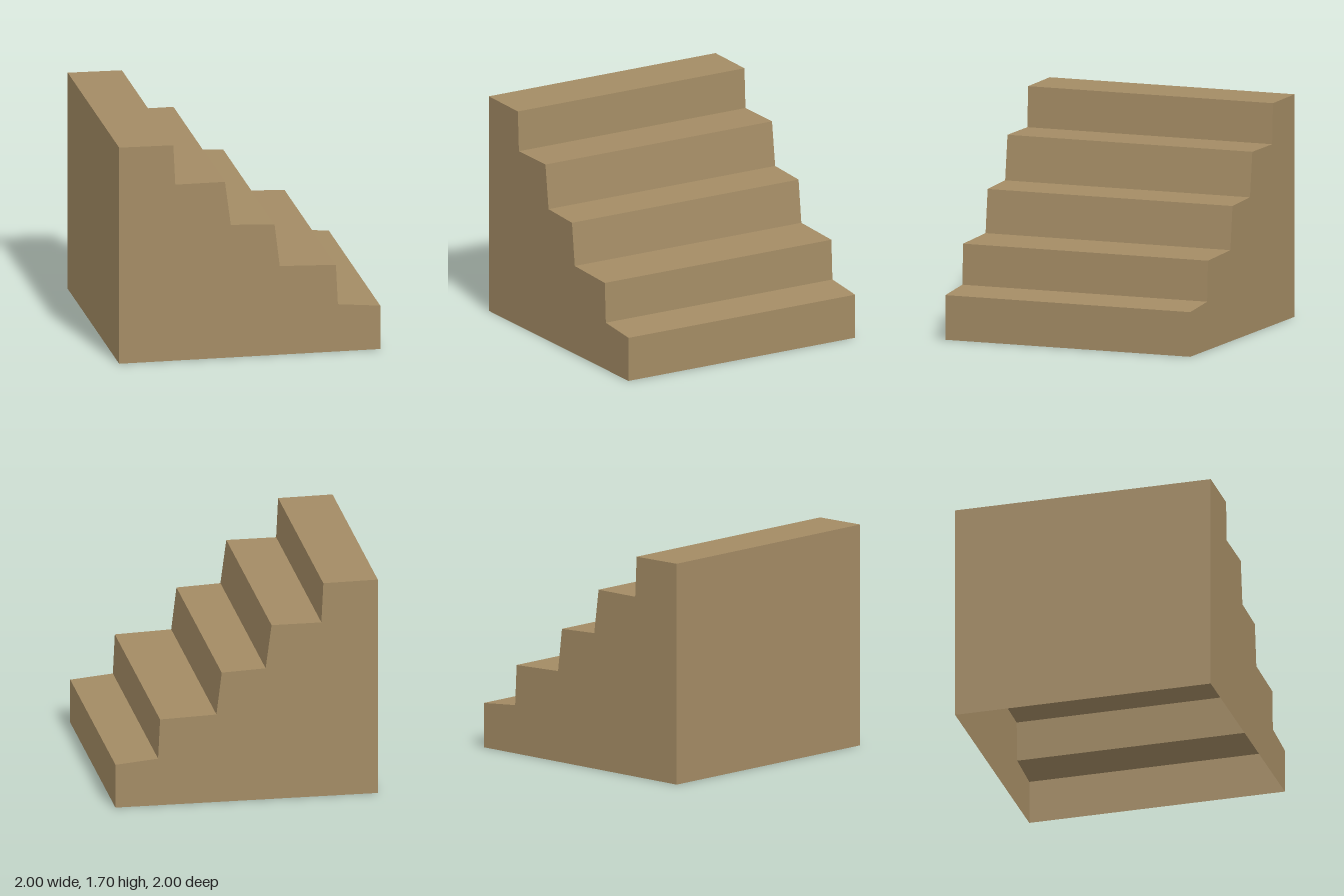
import * as THREE from 'three';

const DEPTH = 2;

// Stair outline, from the foot of the first riser up and over to the back foot
const PROFILE = [
  [1, 0], [1, 0.34], [0.675, 0.37], [0.66, 0.68], [0.23, 0.695], [0.19, 1.025],
  [-0.145, 1.04], [-0.19, 1.38], [-0.57, 1.38], [-0.585, 1.69], [-1, 1.695], [-1, 0],
];

// Flat panel spanning the full depth between two outline points
function panel([ax, ay], [bx, by]) {
  const h = DEPTH / 2;
  const geometry = new THREE.BufferGeometry();
  geometry.setAttribute('position', new THREE.Float32BufferAttribute(
    [ax, ay, h, ax, ay, -h, bx, by, -h, bx, by, h], 3));
  geometry.setIndex([0, 1, 2, 0, 2, 3]);
  geometry.computeVertexNormals();
  return geometry;
}

// Side wall filled from the outline; side is +1 for front, -1 for back
function sideWall(side) {
  const points = PROFILE.map(([x, y]) => new THREE.Vector2(x * side, y));
  const geometry = new THREE.ShapeGeometry(new THREE.Shape(points));
  if (side < 0) geometry.rotateY(Math.PI);
  return geometry.translate(0, 0, side * DEPTH / 2);
}

export function createModel() {
  const group = new THREE.Group();
  group.name = 'staircase';
  const sandstone = new THREE.MeshStandardMaterial({ color: 0xa38b64, side: THREE.DoubleSide });
  sandstone.name = 'sandstone';

  const add = (name, geometry) => {
    const mesh = new THREE.Mesh(geometry, sandstone);
    mesh.name = name;
    group.add(mesh);
  };

  // Risers and treads alternate up the stairs; the last panel is the tall end wall
  const last = PROFILE.length - 2;
  for (let i = 0; i <= last; i++) {
    const step = Math.floor(i / 2) + 1;
    const name = i === last ? 'endWall' : (i % 2 ? 'tread' : 'riser') + step;
    add(name, panel(PROFILE[i], PROFILE[i + 1]));
  }

  // Stepped side walls; the underside stays open
  add('frontWall', sideWall(1));
  add('backWall', sideWall(-1));
  return group;
}
